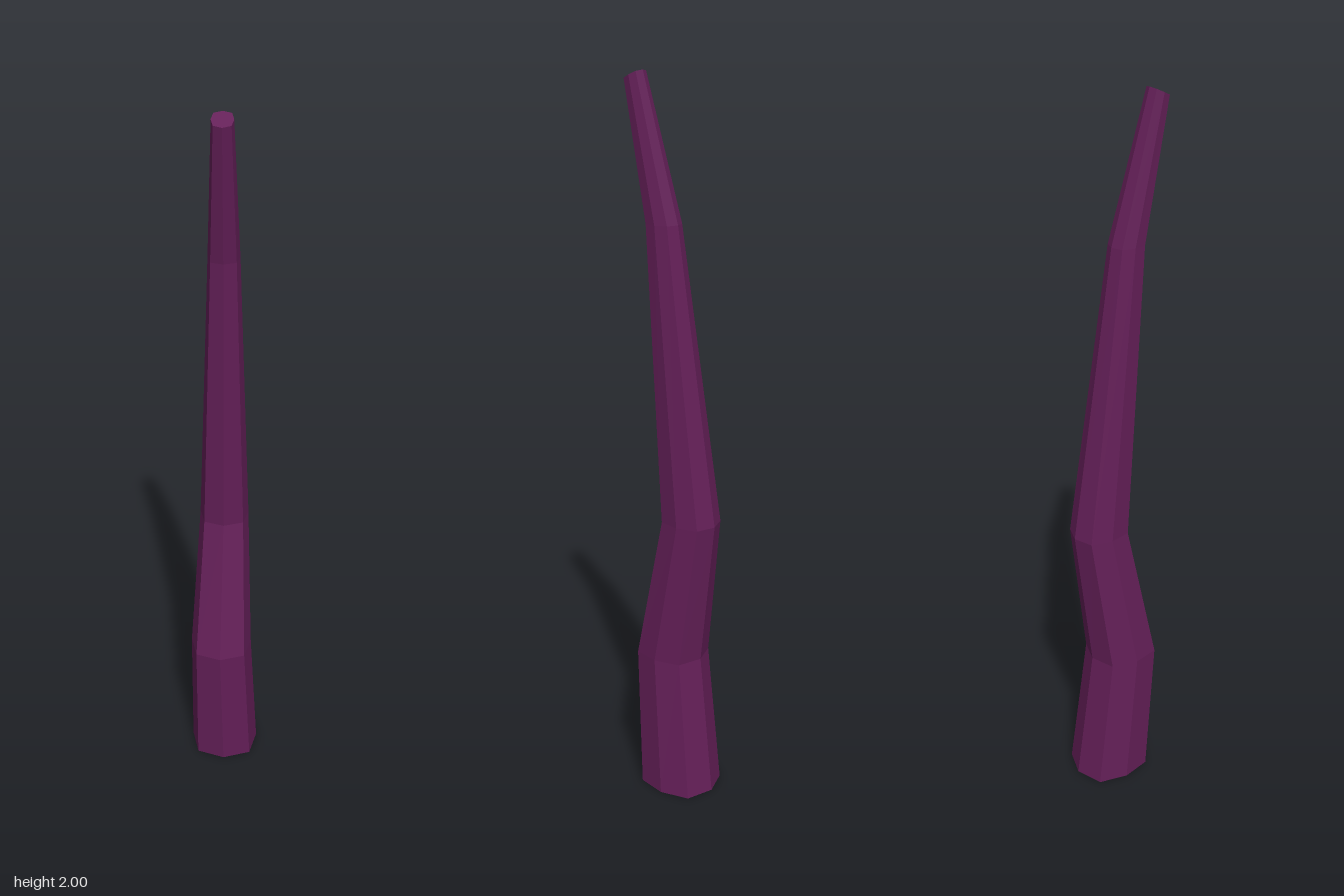
import * as THREE from 'three';

const SIDES = 8;

// Cross-sections from base to tip: centre x, y, z, half width, half depth, tilt (drop towards the front)
const RINGS = [
  { x: 0, y: 0, z: -0.035, w: 0.098, d: 0.109, tilt: 0 },
  { x: -0.009, y: 0.4, z: 0.002, w: 0.087, d: 0.097, tilt: 0 },
  { x: -0.002, y: 0.81, z: -0.065, w: 0.068, d: 0.079, tilt: 0 },
  { x: 0, y: 1.615, z: 0.026, w: 0.041, d: 0.046, tilt: 0 },
  { x: 0, y: 1.988, z: 0.119, w: 0.027, d: 0.026, tilt: 0.012 },
];

// Slightly squared octagon: diagonal corners pushed outwards
function ringPoint(r, i) {
  const a = (i / SIDES) * Math.PI * 2;
  const k = i % 2 ? 1.13 : 1;
  const s = Math.sin(a) * k;
  const c = Math.cos(a) * (i % 2 ? 1.07 : 1);
  return [r.x + r.w * s, r.y - r.tilt * c, r.z + r.d * c];
}

function hornGeometry() {
  const pos = [];
  const index = [];
  RINGS.forEach((r) => {
    for (let i = 0; i < SIDES; i++) pos.push(...ringPoint(r, i));
  });
  // Side faces
  for (let j = 0; j < RINGS.length - 1; j++) {
    for (let i = 0; i < SIDES; i++) {
      const a = j * SIDES + i;
      const b = j * SIDES + ((i + 1) % SIDES);
      index.push(a, b, b + SIDES, a, b + SIDES, a + SIDES);
    }
  }
  // Flat caps at base and tip
  const top = (RINGS.length - 1) * SIDES;
  for (let i = 1; i < SIDES - 1; i++) {
    index.push(0, i + 1, i);
    index.push(top, top + i, top + i + 1);
  }
  const g = new THREE.BufferGeometry();
  g.setAttribute('position', new THREE.Float32BufferAttribute(pos, 3));
  g.setIndex(index);
  const flat = g.toNonIndexed();
  flat.computeVertexNormals();
  return flat;
}

export function createModel() {
  const group = new THREE.Group();
  group.name = 'tentacle';
  const material = new THREE.MeshStandardMaterial({ color: 0x641f58, flatShading: true });
  const stalk = new THREE.Mesh(hornGeometry(), material);
  stalk.name = 'bentStalk';
  group.add(stalk);
  return group;
}
